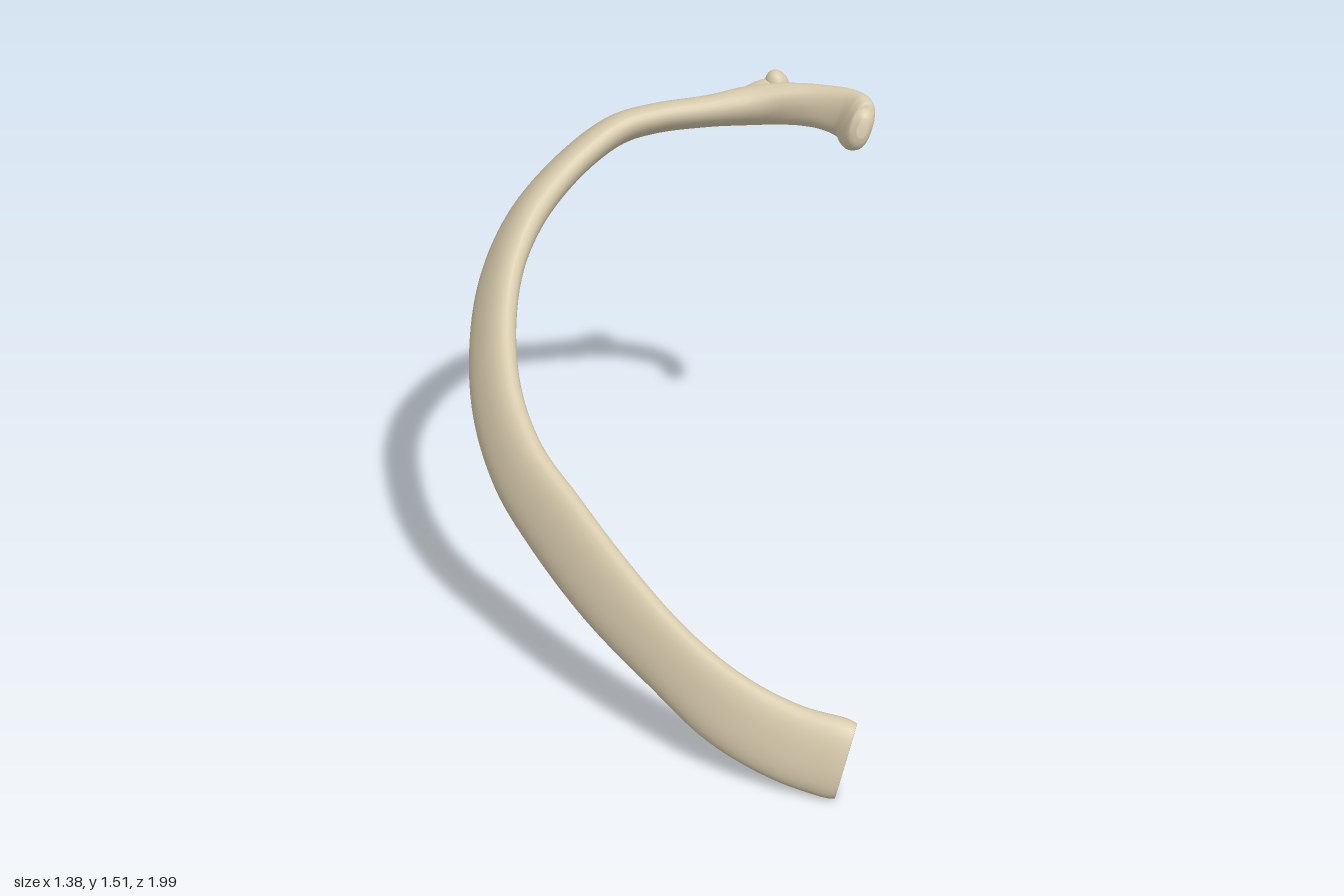
import * as THREE from 'three';

// stations along the rib, cut front end to head: x, y, z, half height, half thickness, lean (degrees)
const stations = [
  [0.205, 0.125, 0.94, 0.125, 0.052, 46],
  [0.05, 0.16, 0.865, 0.12, 0.043, 44],
  [-0.1, 0.22, 0.755, 0.118, 0.042, 40],
  [-0.24, 0.315, 0.6, 0.112, 0.043, 36],
  [-0.38, 0.43, 0.395, 0.122, 0.046, 34],
  [-0.5, 0.555, 0.17, 0.126, 0.048, 32],
  [-0.58, 0.66, 0, 0.118, 0.05, 30],
  [-0.613, 0.785, -0.2, 0.112, 0.05, 29],
  [-0.59, 0.925, -0.41, 0.11, 0.05, 28],
  [-0.53, 1.055, -0.57, 0.108, 0.05, 28],
  [-0.42, 1.175, -0.715, 0.105, 0.052, 28],
  [-0.25, 1.285, -0.845, 0.1, 0.05, 29],
  [-0.1, 1.355, -0.905, 0.094, 0.05, 30],
  [0.03, 1.38, -0.915, 0.09, 0.048, 30],
  [0.2, 1.395, -0.902, 0.08, 0.05, 27],
  [0.35, 1.41, -0.885, 0.078, 0.06, 15],
  [0.45, 1.42, -0.85, 0.075, 0.052, -8],
  [0.55, 1.423, -0.795, 0.074, 0.045, -24],
  [0.622, 1.415, -0.735, 0.086, 0.042, -24],
  [0.642, 1.405, -0.68, 0.094, 0.043, -22],
  [0.645, 1.405, -0.635, 0.075, 0.038, -20],
  [0.645, 1.41, -0.612, 0.03, 0.018, -20],
];

const path = new THREE.CatmullRomCurve3(stations.map(s => new THREE.Vector3(s[0], s[1], s[2])));
const section = new THREE.CatmullRomCurve3(
  stations.map(s => new THREE.Vector3(s[3], s[4], THREE.MathUtils.degToRad(s[5]))), false, 'catmullrom', 0.5);
const planeNormal = new THREE.Vector3(0, 0.85, 0.53).normalize(); // the rib curves in one slanted plane

const SIDES = 32, RINGS = 168;
const rounded = v => Math.sign(v) * Math.pow(Math.abs(v), 0.88);

// one cross-section loop, scaled about its centre
function ring(u, scale) {
  const centre = path.getPoint(u), s = section.getPoint(u), t = path.getTangent(u);
  const up = planeNormal.clone().addScaledVector(t, -planeNormal.dot(t)).normalize();
  up.applyAxisAngle(t, s.z);
  const inward = new THREE.Vector3().crossVectors(t, up);
  const points = [];
  for (let j = 0; j < SIDES; j++) {
    const a = j / SIDES * Math.PI * 2;
    points.push(centre.clone()
      .addScaledVector(up, s.x * scale * rounded(Math.cos(a)))
      .addScaledVector(inward, s.y * scale * rounded(Math.sin(a))));
  }
  return { centre, points };
}

function buildGeometry(points, index) {
  const g = new THREE.BufferGeometry().setFromPoints(points);
  g.setIndex(index);
  g.computeVertexNormals();
  return g;
}

// shaft, neck and head as one smooth skin, closed at the head
function shaftGeometry() {
  const points = [], index = [];
  for (let i = 0; i <= RINGS; i++) {
    const lip = i === 0 ? 0.93 : i === 1 ? 0.98 : 1;
    points.push(...ring(i / RINGS, lip).points);
  }
  for (let i = 0; i < RINGS; i++) {
    for (let j = 0; j < SIDES; j++) {
      const a = i * SIDES + j, b = i * SIDES + (j + 1) % SIDES;
      index.push(a, b, a + SIDES, b, b + SIDES, a + SIDES);
    }
  }
  const tip = points.length, last = RINGS * SIDES;
  points.push(path.getPoint(1));
  for (let j = 0; j < SIDES; j++) index.push(tip, last + j, last + (j + 1) % SIDES);
  return buildGeometry(points, index);
}

// flat cut face at the front end
function cutGeometry() {
  const { centre, points } = ring(0, 0.93), index = [];
  for (let j = 0; j < SIDES; j++) index.push(SIDES, (j + 1) % SIDES, j);
  return buildGeometry([...points, centre], index);
}

export function createModel() {
  const bone = new THREE.MeshStandardMaterial({ color: 0xd5c8aa });
  bone.name = 'bone';
  const group = new THREE.Group();
  group.name = 'rib';

  const add = (name, geometry) => {
    const mesh = new THREE.Mesh(geometry, bone);
    mesh.name = name;
    group.add(mesh);
    return mesh;
  };

  add('shaft', shaftGeometry());
  add('cutEnd', cutGeometry());

  // knob behind the neck, with a low ridge leading into it
  const knob = add('tubercle', new THREE.SphereGeometry(1, 24, 16));
  knob.scale.set(0.042, 0.064, 0.042);
  knob.position.set(0.435, 1.456, -0.902);
  knob.rotation.z = 0.25;
  const ridge = add('tubercleRidge', new THREE.SphereGeometry(1, 24, 16));
  ridge.scale.set(0.09, 0.035, 0.04);
  ridge.position.set(0.385, 1.452, -0.9);
  ridge.rotation.z = 0.25;

  return group;
}
